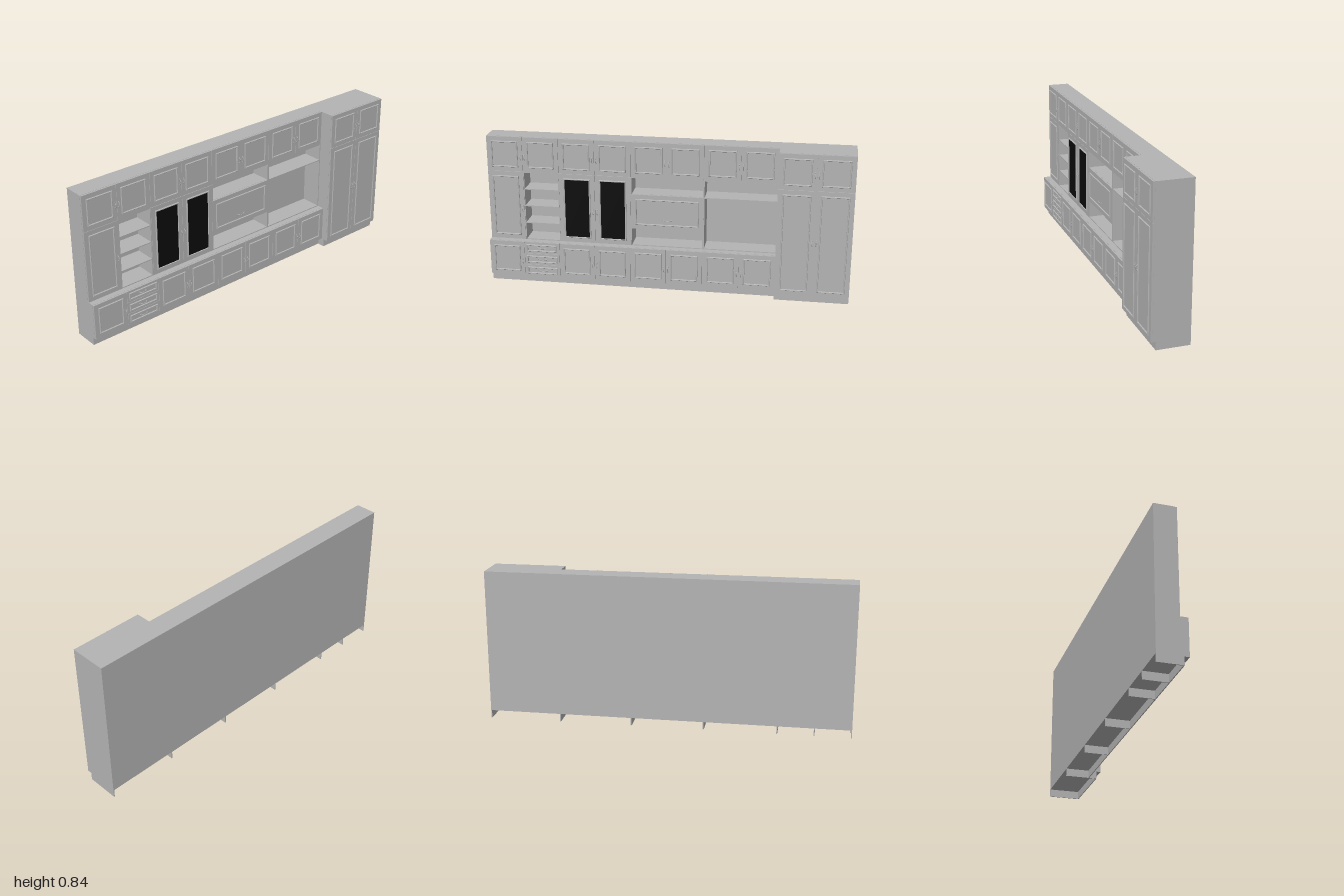
import * as THREE from 'three';

export function createModel() {
  const root = new THREE.Group();
  const grey = new THREE.MeshStandardMaterial({ color: 0xb4b4b4 });
  grey.name = 'cabinet grey';
  const black = new THREE.MeshStandardMaterial({ color: 0x0c0c0c });
  black.name = 'black glass';

  const BACK = -0.107, DOOR = 0.01, T = 0.005;
  const UPPER = 0.014, LOWER = 0.055, TALL = 0.098; // front planes of the doors
  const PLINTH = 0.044, COUNTER = 0.246, TOPROW = 0.642, TOP = 0.84;

  // Box given by its two corners
  function box(name, x0, x1, y0, y1, z0, z1, mat = grey, parent = root) {
    const m = new THREE.Mesh(new THREE.BoxGeometry(x1 - x0, y1 - y0, z1 - z0), mat);
    m.position.set((x0 + x1) / 2, (y0 + y1) / 2, (z0 + z1) / 2);
    m.name = name;
    parent.add(m);
    return m;
  }

  // Raised rectangular moulding with a chamfered profile
  function moulding(x0, x1, y0, y1, z, w, parent) {
    const rect = (P, d) => {
      const p = new P();
      p.moveTo(x0 + d, y0 + d);
      p.lineTo(x1 - d, y0 + d);
      p.lineTo(x1 - d, y1 - d);
      p.lineTo(x0 + d, y1 - d);
      p.closePath();
      return p;
    };
    const s = rect(THREE.Shape, 0.002);
    s.holes.push(rect(THREE.Path, w - 0.002));
    const g = new THREE.ExtrudeGeometry(s, {
      depth: 0.003, bevelEnabled: true, bevelSize: 0.002, bevelThickness: 0.003, bevelSegments: 1,
    });
    const m = new THREE.Mesh(g, grey);
    m.position.z = z;
    m.name = 'moulding';
    parent.add(m);
  }

  // Small bow handle with round ends
  const bow = new THREE.TubeGeometry(new THREE.CatmullRomCurve3([
    new THREE.Vector3(0, -0.013, 0), new THREE.Vector3(0, -0.007, 0.008),
    new THREE.Vector3(0, 0.007, 0.008), new THREE.Vector3(0, 0.013, 0),
  ]), 12, 0.0016, 6);
  const knob = new THREE.SphereGeometry(0.0035, 8, 6);
  function handle(x, y, z, horizontal, parent) {
    const h = new THREE.Group();
    h.name = 'handle';
    h.add(new THREE.Mesh(bow, grey));
    for (const s of [-1, 1]) {
      const k = new THREE.Mesh(knob, grey);
      k.position.y = s * 0.014;
      k.scale.set(1, 1.3, 0.6);
      h.add(k);
    }
    h.position.set(x, y, z);
    if (horizontal) {
      h.rotation.z = Math.PI / 2;
      h.scale.y = 1.5;
    }
    parent.add(h);
  }

  // Door, flap or drawer front; side is the handle edge (-1, 1) or 0 for a centred bar
  function front(name, x0, x1, y0, y1, z, side, { inset = 0.025, width = 0.008, handleY, glass } = {}) {
    const g = new THREE.Group();
    g.name = name;
    root.add(g);
    const gap = 0.0008;
    box('panel', x0 + gap, x1 - gap, y0 + gap, y1 - gap, z - DOOR, z, grey, g);
    moulding(x0 + inset, x1 - inset, y0 + inset, y1 - inset, z, width, g);
    const d = inset + width;
    if (glass) box('glass', x0 + d, x1 - d, y0 + d, y1 - d, z, z + 0.002, black, g);
    const hx = side ? (side > 0 ? x1 : x0) - side * 0.011 : (x0 + x1) / 2;
    handle(hx, handleY ?? (y0 + y1) / 2, z, side === 0, g);
  }

  // Pair of doors meeting at the middle of a 0.4 wide bay
  function pair(name, x, y0, y1, z, opts) {
    front(name, x, x + 0.2, y0, y1, z, 1, opts);
    front(name, x + 0.2, x + 0.4, y0, y1, z, -1, opts);
  }

  // Closed carcasses
  box('lowerCarcass', -1, 0.6, PLINTH, COUNTER, BACK, LOWER - DOOR);
  box('topCarcass', -1, 0.6, TOPROW, TOP, BACK, UPPER - DOOR);
  box('tallCarcass', 0.6, 1, PLINTH, TOP, BACK, TALL - DOOR);
  box('wardrobeCarcass', -1, -0.8, COUNTER, TOPROW, BACK, UPPER - DOOR);
  box('displayCarcass', -0.6, -0.2, COUNTER, TOPROW, BACK, UPPER - DOOR);
  box('flapCarcass', -0.2, 0.2, 0.345, 0.545, BACK, UPPER - DOOR);

  // Open bays: back panel, side boards and shelves
  const bays = [
    [-0.8, -0.6, [0.345, 0.445, 0.542]],
    [-0.2, 0.2, []],
    [0.2, 0.6, [0.542]],
  ];
  for (const [x0, x1, shelves] of bays) {
    box('backPanel', x0, x1, COUNTER, TOPROW, BACK, BACK + T);
    box('sideBoard', x0, x0 + T, COUNTER, TOPROW, BACK, UPPER - 0.001);
    box('sideBoard', x1 - T, x1, COUNTER, TOPROW, BACK, UPPER - 0.001);
    for (const y of [...shelves, TOPROW - T / 2, COUNTER + T / 2])
      box('shelf', x0 + T, x1 - T, y - T / 2, y + T / 2, BACK, UPPER - 0.002);
  }

  // Plinth: front boards and dividers, open at the back
  const recess = 0.026;
  box('plinthBoard', -1, 0.6, 0, PLINTH, LOWER - recess - T, LOWER - recess);
  box('plinthBoard', 0.6, 1, 0, PLINTH, TALL - recess - T, TALL - recess);
  for (const x of [-1, -0.8, -0.6, -0.2, 0.2, 0.6, 1]) {
    const c = THREE.MathUtils.clamp(x, -1 + T / 2, 1 - T / 2);
    box('plinthDivider', c - T / 2, c + T / 2, 0, PLINTH, BACK, (x >= 0.6 ? TALL : LOWER) - recess);
  }

  // Top row of doors
  for (const x of [-1, -0.6, -0.2, 0.2]) pair('topDoor', x, TOPROW, TOP, UPPER, { handleY: 0.727 });
  pair('topDoor', 0.6, TOPROW, TOP, TALL, { handleY: 0.727 });

  // Lower doors and drawers
  front('lowerDoor', -1, -0.8, PLINTH, COUNTER, LOWER, 1, { handleY: 0.13 });
  for (const x of [-0.6, -0.2, 0.2]) pair('lowerDoor', x, PLINTH, COUNTER, LOWER, { handleY: 0.13 });
  const dh = (COUNTER - PLINTH) / 3;
  for (let i = 0; i < 3; i++)
    front('drawer', -0.8, -0.6, PLINTH + i * dh, PLINTH + (i + 1) * dh, LOWER, 0, { inset: 0.013 });

  // Middle row and tall doors
  front('wardrobeDoor', -1, -0.8, COUNTER, TOPROW, UPPER, 1, { handleY: 0.43 });
  pair('glassDoor', -0.6, COUNTER, TOPROW, UPPER, { handleY: 0.43, glass: true });
  front('flap', -0.2, 0.2, 0.345, 0.545, UPPER, 0, { handleY: 0.403 });
  pair('tallDoor', 0.6, PLINTH, TOPROW, TALL, { handleY: 0.35 });

  return root;
}
